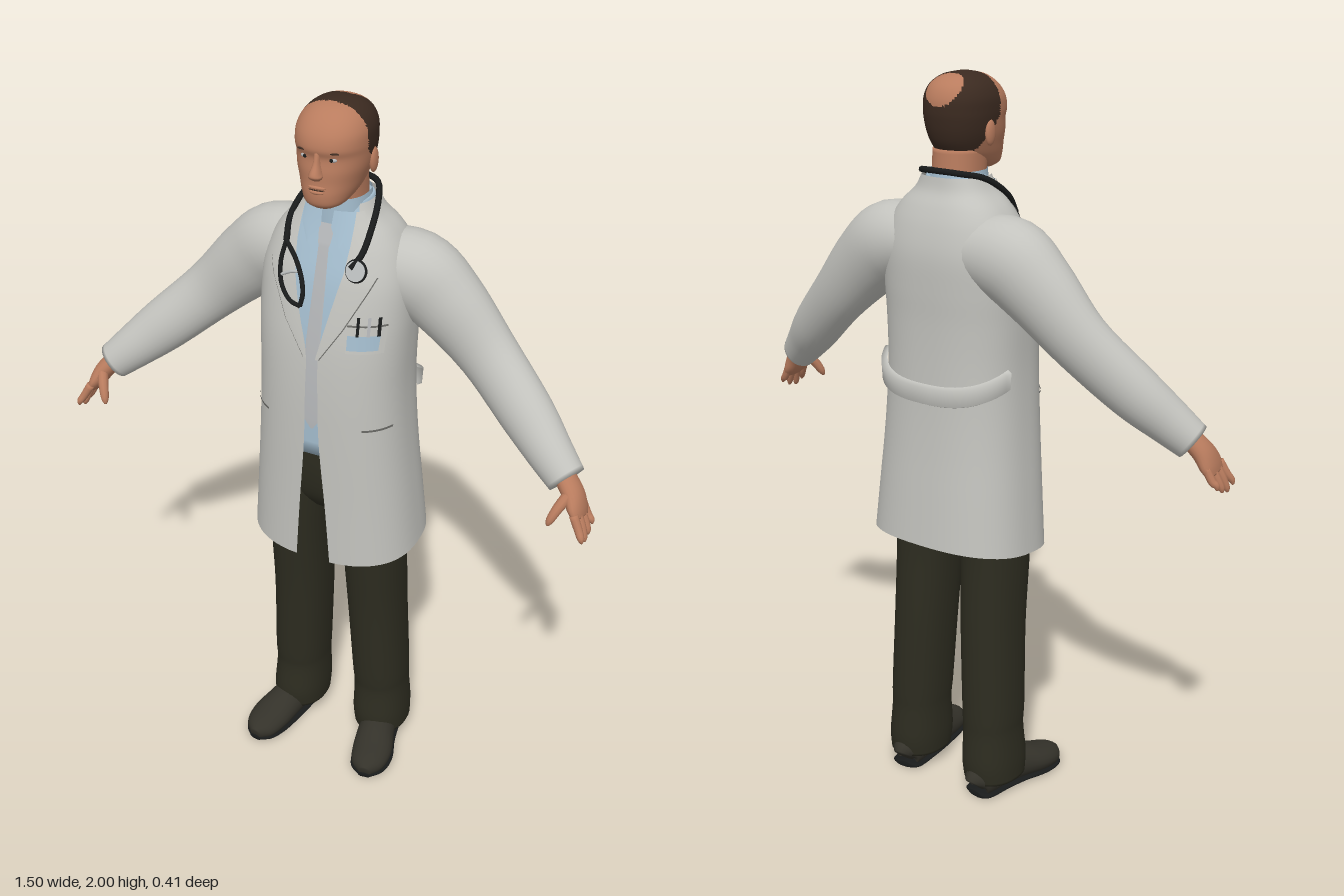
import * as THREE from 'three';

const V = (x, y, z) => new THREE.Vector3(x, y, z);
const mat = (name, color, double) => {
  const m = new THREE.MeshStandardMaterial({ color });
  m.name = name;
  if (double) m.side = THREE.DoubleSide;
  return m;
};

// Surface through a list of point rings; pick(point) sends a face to the second material group.
function skin(rings, { closed = true, caps = true, pick = null } = {}) {
  const n = rings[0].length, pts = rings.flat(), faces = [[], []];
  const tri = (a, b, c) => {
    const mid = pts[a].clone().add(pts[b]).add(pts[c]).divideScalar(3);
    faces[pick && pick(mid) ? 1 : 0].push(a, b, c);
  };
  for (let i = 0; i < rings.length - 1; i++)
    for (let j = 0; j < (closed ? n : n - 1); j++) {
      const a = i * n + j, b = i * n + (j + 1) % n;
      tri(a, b, a + n); tri(b, b + n, a + n);
    }
  if (closed && caps) [0, rings.length - 1].forEach((r, end) => {
    const c = V(0, 0, 0);
    rings[r].forEach(p => c.add(p));
    const k = pts.push(c.divideScalar(n)) - 1;
    for (let j = 0; j < n; j++) {
      const a = r * n + j, b = r * n + (j + 1) % n;
      end ? tri(a, b, k) : tri(b, a, k);
    }
  });
  const g = new THREE.BufferGeometry().setFromPoints(pts);
  g.setIndex([...faces[0], ...faces[1]]);
  if (pick) {
    g.addGroup(0, faces[0].length, 0);
    g.addGroup(faces[0].length, faces[1].length, 1);
  }
  g.computeVertexNormals();
  return g;
}

// Catmull-Rom resampling of number rows
function smooth(rows, k = 5) {
  const out = [], at = i => rows[Math.max(0, Math.min(rows.length - 1, i))];
  for (let i = 0; i < rows.length - 1; i++)
    for (let s = 0; s < k; s++) {
      const t = s / k;
      out.push(rows[i].map((b, c) => {
        const a = at(i - 1)[c], d = at(i + 1)[c], e = at(i + 2)[c];
        return b + 0.5 * t * (d - a + t * (2 * a - 5 * b + 4 * d - e + t * (3 * (b - d) + e - a)));
      }));
    }
  return [...out, at(rows.length - 1)];
}

const pw = (v, p) => Math.sign(v) * Math.abs(v) ** p;

// Upright stack of ovals: rows [y, cx, cz, rx, rz]
const stack = (rows, { n = 32, p = 0.9, ...opt } = {}) => skin(smooth(rows).map(([y, cx, cz, rx, rz]) =>
  Array.from({ length: n }, (_, j) => {
    const a = j / n * 2 * Math.PI;
    return V(cx + rx * pw(Math.sin(a), p), y, cz + rz * pw(Math.cos(a), p));
  })), opt);

// Ovals swept along a path: rows [x, y, z, radius along ref, radius across]
function sweep(rows, ref, { n = 20, k = 5, floor = -9 } = {}) {
  const r = smooth(rows, k), c = r.map(q => V(q[0], q[1], q[2]));
  return skin(r.map((q, i) => {
    const t = c[Math.min(i + 1, c.length - 1)].clone().sub(c[Math.max(i - 1, 0)]).normalize();
    const u = ref.clone().addScaledVector(t, -ref.dot(t)).normalize(), v = t.clone().cross(u);
    return Array.from({ length: n }, (_, j) => {
      const a = j / n * 2 * Math.PI;
      const p = c[i].clone().addScaledVector(u, q[3] * Math.cos(a)).addScaledVector(v, q[4] * Math.sin(a));
      p.y = Math.max(floor, p.y);
      return p;
    });
  }));
}

// Coat body: [y, half width, front z, back z, half width of the opening]
const COAT = smooth([
  [0.725, 0.24, 0.163, -0.2, 0.05], [0.9, 0.226, 0.163, -0.187, 0.038], [1.1, 0.21, 0.164, -0.172, 0.022],
  [1.25, 0.203, 0.162, -0.166, 0.018], [1.37, 0.205, 0.154, -0.165, 0.018], [1.46, 0.207, 0.14, -0.168, 0.04],
  [1.55, 0.203, 0.12, -0.168, 0.062], [1.62, 0.182, 0.095, -0.155, 0.074], [1.67, 0.15, 0.075, -0.137, 0.078],
  [1.71, 0.108, 0.06, -0.117, 0.076], [1.745, 0.086, 0.05, -0.11, 0.07]]);
const P = 0.8;
function coatAt(y) {
  let i = 0;
  while (i < COAT.length - 2 && COAT[i + 1][0] < y) i++;
  const a = COAT[i], b = COAT[i + 1], t = Math.max(0, Math.min(1, (y - a[0]) / (b[0] - a[0])));
  return a.map((v, c) => v + (b[c] - v) * t);
}
function coatPoint(a, y, off = 0) {
  const [, hx, zf, zb] = coatAt(y), mid = (zf + zb) / 2, c = Math.cos(a);
  const lift = Math.max(0, 1 - y) * 0.08 * (1 - c);
  return V((hx + off) * pw(Math.sin(a), P), y + lift, mid + ((zf - zb) / 2 + off) * pw(c, P));
}
function onFront(x, y, off) {
  const [, hx, zf, zb] = coatAt(y), f = Math.min(0.99, Math.abs(x) / hx);
  return V(x, y, (zf + zb) / 2 + (zf - zb) / 2 * (1 - f ** (2 / P)) ** (P / 2) + off);
}
// Thin patch lying on the coat front: rows [y, x0, x1], from the bottom up
const patch = (rows, off, n = 6) => skin(rows.map(([y, a, b]) =>
  Array.from({ length: n + 1 }, (_, j) => onFront(a + (b - a) * j / n, y, off))), { closed: false });

export function createModel() {
  const model = new THREE.Group();
  model.name = 'man in a white coat';
  const M = {
    coat: mat('coat white', 0xc3c3be, true), trousers: mat('dark olive cloth', 0x2d2c20),
    shoe: mat('shoe leather', 0x34322a), skin: mat('skin', 0xb97c5e), hair: mat('brown hair', 0x3b2a20),
    shirt: mat('pale blue shirt', 0xa3bccd, true), tie: mat('grey tie', 0xb4b6b8, true),
    black: mat('black rubber', 0x191b1b, true), metal: mat('metal', 0xb9bdbd), seam: mat('seam grey', 0x6a6a66, true)
  };
  const add = (name, geo, m) => {
    const mesh = new THREE.Mesh(geo, m);
    mesh.name = name;
    model.add(mesh);
  };
  const both = (name, geo, m) => {
    add(name + 'Left', geo, m);
    const g = geo.clone().scale(-1, 1, 1), ix = g.index.array;
    for (let i = 0; i < ix.length; i += 3) [ix[i], ix[i + 1]] = [ix[i + 1], ix[i]];
    add(name + 'Right', g, m);
  };
  const ball = (x, y, z, rx, ry, rz) => new THREE.SphereGeometry(1, 16, 12).scale(rx, ry, rz).translate(x, y, z);

  // Head with a balding crown: [y, half width, front, back]
  const head = [[1.752, 0.03, 0.105, 0.04], [1.765, 0.052, 0.121, 0], [1.79, 0.068, 0.125, -0.06], [1.82, 0.079, 0.122, -0.087],
    [1.85, 0.088, 0.121, -0.1], [1.883, 0.093, 0.117, -0.107], [1.908, 0.095, 0.123, -0.109], [1.94, 0.093, 0.114, -0.106],
    [1.97, 0.078, 0.09, -0.09], [1.991, 0.05, 0.056, -0.058], [2, 0.012, 0.015, -0.015]]
    .map(([y, hx, f, b]) => [y, 0, (f + b) / 2, hx, (f - b) / 2]);
  const spot = V(0, 1.965, -0.08);
  const isHair = p => p.y > 1.79 && p.z < 0.03 - Math.max(0, 1.895 - p.y) * 0.8 && p.distanceTo(spot) > 0.053;
  add('head', stack(head, { n: 96, pick: isHair }), [M.skin, M.hair]);
  add('neck', stack([[1.66, 0, -0.03, 0.07, 0.07], [1.74, 0, -0.02, 0.066, 0.072], [1.81, 0, -0.012, 0.066, 0.075]]), M.skin);
  add('nose', stack([[1.832, 0, 0.122, 0.01, 0.008], [1.842, 0, 0.124, 0.018, 0.02], [1.852, 0, 0.122, 0.015, 0.023],
    [1.875, 0, 0.115, 0.009, 0.016], [1.9, 0, 0.112, 0.008, 0.01]], { n: 16 }), M.skin);
  add('upperLip', ball(0, 1.812, 0.119, 0.024, 0.005, 0.008), M.skin);
  add('lowerLip', ball(0, 1.8, 0.12, 0.02, 0.006, 0.008), M.skin);
  add('mouthLine', ball(0, 1.806, 0.122, 0.022, 0.0015, 0.004), M.hair);
  both('ear', ball(0.091, 1.853, -0.008, 0.01, 0.033, 0.018).rotateX(0), M.skin);
  both('eye', ball(0.035, 1.884, 0.107, 0.013, 0.006, 0.006), M.tie);
  both('iris', ball(0.035, 1.884, 0.111, 0.005, 0.005, 0.004), M.black);
  both('eyebrow', ball(0.037, 1.902, 0.111, 0.018, 0.003, 0.006), M.hair);

  // Coat body, open down the front
  const body = COAT.map(([y, hx, , , gap]) => {
    const a0 = Math.asin((gap / hx) ** (1 / P));
    return Array.from({ length: 65 }, (_, j) => coatPoint(a0 + (2 * Math.PI - 2 * a0) * j / 64, y));
  });
  add('coatBody', skin(body, { closed: false }), M.coat);
  both('lapel', patch([[1.36, 0.012, 0.02], [1.45, 0.034, 0.078], [1.55, 0.058, 0.13], [1.585, 0.066, 0.145],
    [1.59, 0.067, 0.108], [1.65, 0.072, 0.122], [1.7, 0.072, 0.1], [1.73, 0.07, 0.085]], 0.008), M.coat);
  both('lapelSeam', patch([[1.36, 0.02, 0.023], [1.45, 0.078, 0.081], [1.55, 0.13, 0.133], [1.585, 0.145, 0.148]], 0.006, 2), M.seam);

  // Half belt across the back
  const belt = [[-0.035, 0.002], [-0.03, 0.014], [0.015, 0.018], [0.02, 0.002]].map(([dy, off]) =>
    Array.from({ length: 33 }, (_, j) => {
      const s = j / 16 - 1;
      return coatPoint(Math.PI + s * 1.25, 1.195 + dy + 0.05 * s * s, off);
    }));
  add('backBelt', skin(belt, { closed: false }), M.coat);

  // Sleeves and cuffs
  const Z = V(0, 0, 1);
  both('sleeve', sweep([[0.07, 1.56, -0.05, 0.1, 0.09], [0.19, 1.548, -0.055, 0.1, 0.112], [0.28, 1.485, -0.055, 0.085, 0.103],
    [0.4, 1.37, -0.043, 0.066, 0.083], [0.53, 1.253, 0.004, 0.064, 0.074], [0.61, 1.183, 0.042, 0.056, 0.062],
    [0.668, 1.133, 0.068, 0.048, 0.052]], Z, { n: 28 }), M.coat);

  // Hands
  both('palm', sweep([[0.65, 1.152, 0.062, 0.03, 0.026], [0.688, 1.112, 0.08, 0.037, 0.026], [0.708, 1.078, 0.091, 0.045, 0.021],
    [0.72, 1.055, 0.097, 0.04, 0.013]], Z), M.skin);
  for (let i = 0; i < 4; i++) {
    const z = 0.13 - 0.023 * i, tip = 0.148 - 0.027 * i, end = [1.012, 1, 1.006, 1.02][i];
    both('finger' + (i + 1), sweep([[0.712, 1.075, z, 0.012, 0.012], [0.73, 1.042, (z + tip) / 2, 0.011, 0.011],
      [0.741, end + 0.012, tip, 0.009, 0.009], [0.744, end, tip, 0.003, 0.003]], Z, { n: 10, k: 3 }), M.skin);
  }
  both('thumb', sweep([[0.688, 1.115, 0.1, 0.016, 0.016], [0.67, 1.085, 0.128, 0.014, 0.014], [0.657, 1.055, 0.145, 0.011, 0.011],
    [0.653, 1.04, 0.15, 0.004, 0.004]], Z, { n: 10, k: 3 }), M.skin);

  // Shirt, collar and tie
  const shirtRows = COAT.filter(r => r[0] > 1.05).map(r => Array.from({ length: 48 }, (_, j) =>
    coatPoint(j / 24 * Math.PI, r[0], -0.012)));
  add('shirt', skin(shirtRows), M.shirt);
  add('shirtCollarBand', stack([[1.69, 0, -0.026, 0.08, 0.083], [1.758, 0, -0.022, 0.071, 0.077]], { caps: false }), M.shirt);
  both('shirtCollarWing', patch([[1.645, 0.04, 0.045], [1.69, 0.014, 0.07], [1.73, 0.016, 0.072]], 0.004), M.shirt);
  add('tie', patch([[1.15, -0.003, 0.003], [1.18, -0.024, 0.024], [1.4, -0.02, 0.02], [1.64, -0.014, 0.014],
    [1.65, -0.017, 0.017], [1.695, -0.022, 0.022]], -0.002), M.tie);

  // Pockets
  both('pocketWelt', patch([[1.163, 0.135, 0.195], [1.169, 0.135, 0.195]], 0.006), M.seam);
  add('chestPocket', patch([[1.39, 0.09, 0.175], [1.47, 0.09, 0.18]], 0.005), M.coat);
  add('chestPocketEdge', patch([[1.462, 0.09, 0.18], [1.467, 0.09, 0.18]], 0.007), M.seam);
  add('pocketCard', patch([[1.4, 0.093, 0.165], [1.44, 0.093, 0.168]], 0.008), M.shirt);
  [0.115, 0.14, 0.162].forEach((x, i) =>
    add('pen' + (i + 1), patch([[1.44, x, x + 0.007], [1.49, x, x + 0.007]], 0.012, 1), i === 1 ? M.tie : M.black));

  // Trousers and shoes
  add('trouserSeat', stack([[0.84, 0, -0.005, 0.12, 0.08], [0.9, 0, -0.003, 0.175, 0.118], [1, 0, 0, 0.18, 0.135], [1.12, 0, 0, 0.17, 0.138]]), M.trousers);
  both('trouserLeg', stack([[0.045, 0.135, -0.03, 0.078, 0.094], [0.1, 0.133, -0.03, 0.08, 0.1], [0.19, 0.13, -0.031, 0.076, 0.093],
    [0.26, 0.128, -0.028, 0.078, 0.096], [0.5, 0.118, -0.018, 0.08, 0.1], [0.72, 0.112, -0.003, 0.084, 0.107],
    [0.9, 0.098, 0, 0.09, 0.118], [1, 0.09, 0, 0.09, 0.12]]), M.trousers);
  const shoe = [[0.13, 0.035, -0.117, 0.02, 0.036], [0.132, 0.045, -0.1, 0.045, 0.05], [0.14, 0.05, -0.02, 0.05, 0.056],
    [0.152, 0.046, 0.05, 0.054, 0.052], [0.17, 0.034, 0.12, 0.059, 0.04], [0.178, 0.025, 0.175, 0.047, 0.032], [0.182, 0.018, 0.203, 0.016, 0.02]];
  both('shoe', sweep(shoe, V(1, 0, 0), { floor: 0.004 }), M.shoe);
  both('sole', sweep(shoe.map(([x, , z, r]) => [x, 0.007, z, r + 0.002, 0.009]), V(1, 0, 0), { floor: 0 }), M.black);

  // Stethoscope draped round the neck
  const tube = (name, pts, r, m) => add(name, new THREE.TubeGeometry(new THREE.CatmullRomCurve3(pts), 48, r, 8), m);
  const f = (x, y) => onFront(x, y, 0.018);
  tube('stethoscopeNeckTube', [f(0.085, 1.61), f(0.105, 1.64), V(0.11, 1.69, 0.045), V(0.095, 1.74, -0.03), V(0.06, 1.758, -0.095),
    V(0, 1.762, -0.112), V(-0.06, 1.758, -0.095), V(-0.095, 1.74, -0.03), V(-0.11, 1.69, 0.045), f(-0.1, 1.64)], 0.008, M.black);
  tube('stethoscopeOuterBranch', [f(-0.1, 1.64), f(-0.106, 1.59), f(-0.095, 1.54), f(-0.065, 1.505), f(-0.035, 1.497)], 0.006, M.black);
  tube('stethoscopeInnerBranch', [f(-0.1, 1.64), f(-0.065, 1.61), f(-0.04, 1.57), f(-0.03, 1.53), f(-0.035, 1.497)], 0.006, M.black);
  tube('stethoscopeMetalArm', [f(-0.1, 1.56), f(-0.07, 1.575), f(-0.045, 1.58)], 0.004, M.metal);
  const c = f(0.1, 1.605);
  add('chestPieceDisc', new THREE.CylinderGeometry(0.026, 0.022, 0.014, 24).rotateX(1.2).translate(c.x, c.y, c.z), M.metal);
  add('chestPieceRim', new THREE.TorusGeometry(0.026, 0.004, 8, 24).rotateX(-0.37).translate(c.x, c.y, c.z), M.black);
  return model;
}
